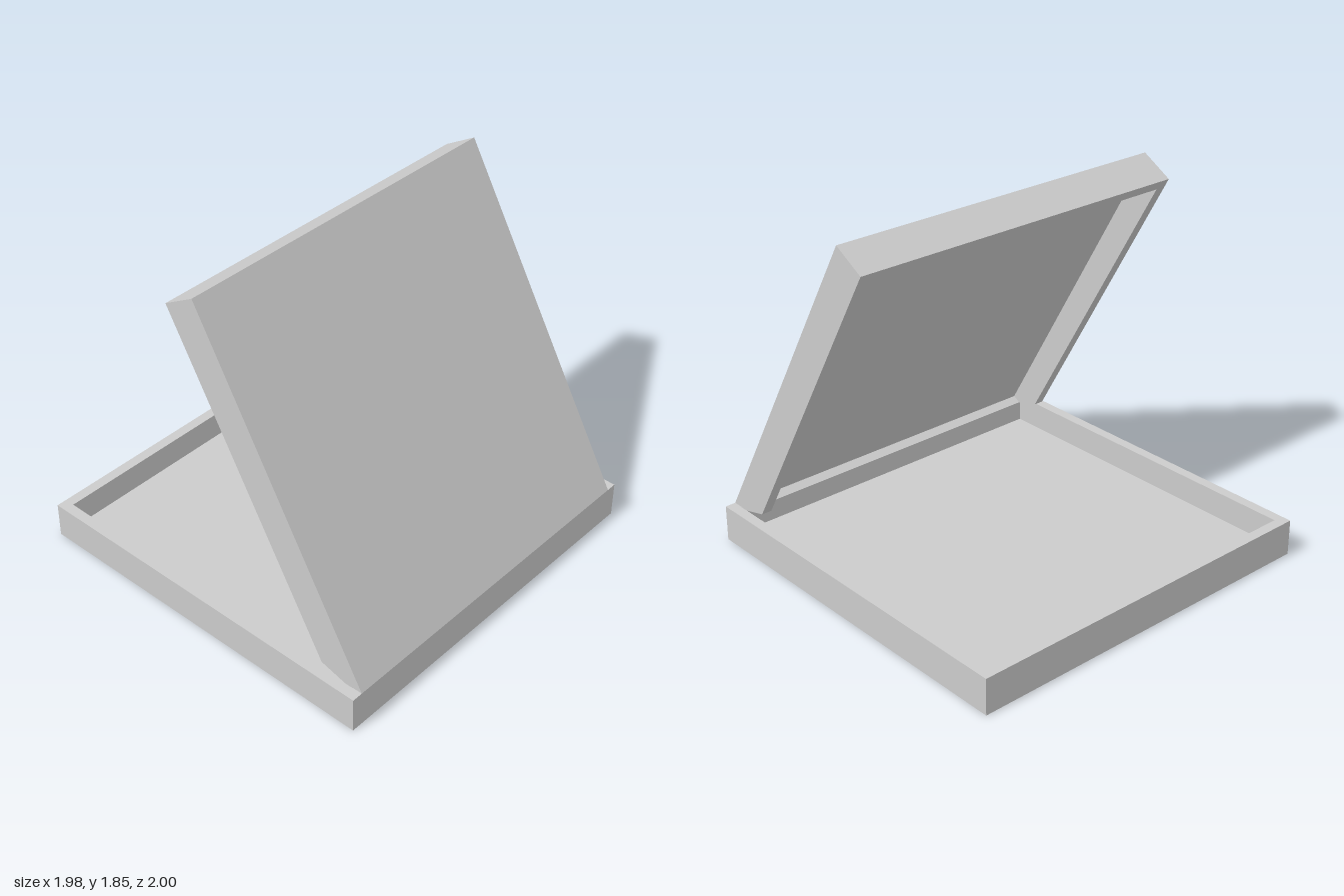
import * as THREE from 'three';

const WALL = 0.055, FLOOR = 0.047, DEPTH = 0.19;
const material = new THREE.MeshStandardMaterial({ color: 0xcccccc, flatShading: true });

function polygon(points) {
  return new THREE.Shape(points.map(([x, y]) => new THREE.Vector2(x, y)));
}

function rectangle(hx, hy) {
  return [[-hx, -hy], [hx, -hy], [hx, hy], [-hx, hy]];
}

// Extrude a shape along z from z0 to z1
function extrude(name, shape, z0, z1) {
  const geometry = new THREE.ExtrudeGeometry(shape, { depth: z1 - z0, bevelEnabled: false });
  geometry.translate(0, 0, z0);
  const mesh = new THREE.Mesh(geometry, material);
  mesh.name = name;
  return mesh;
}

// Open tray: four walls around a thin floor
function createTray(hx, hz) {
  const tray = new THREE.Group();
  tray.name = 'tray';
  const frame = polygon(rectangle(hx, hz));
  frame.holes.push(polygon(rectangle(hx - WALL, hz - WALL)));
  tray.add(
    extrude('trayWalls', frame, 0, DEPTH),
    extrude('trayFloor', polygon(rectangle(hx - WALL, hz - WALL)), 0, FLOOR)
  );
  tray.rotation.x = -Math.PI / 2;
  return tray;
}

// Hollow lid: x runs from the hinge to the free edge, y from the outer face inwards
function createLid(length, hz) {
  const lid = new THREE.Group();
  lid.name = 'lid';
  const heel = 0.04; // height at which the 45 degree hinge chamfer starts
  const panel = polygon([
    [0, 0], [length, 0], [length, DEPTH], [length - WALL, DEPTH],
    [length - WALL, FLOOR], [WALL, FLOOR], [WALL, WALL + heel], [0, heel],
  ]);
  lid.add(extrude('lidPanel', panel, -hz + WALL, hz - WALL));

  // Side walls with the chamfered hinge end
  const side = polygon([
    [0, 0], [length, 0], [length, DEPTH], [DEPTH - heel, DEPTH], [0, heel],
  ]);
  lid.add(
    extrude('lidFrontWall', side, hz - WALL, hz),
    extrude('lidBackWall', side, -hz, -hz + WALL)
  );
  return lid;
}

export function createModel() {
  const model = new THREE.Group();
  model.name = 'hingedBox';
  model.add(createTray(0.99, 1));

  // Lid swung open about the tray's +x top edge
  const lid = createLid(1.92, 0.943);
  lid.position.set(0.99, DEPTH, 0);
  lid.rotation.z = THREE.MathUtils.degToRad(120);
  model.add(lid);
  return model;
}
